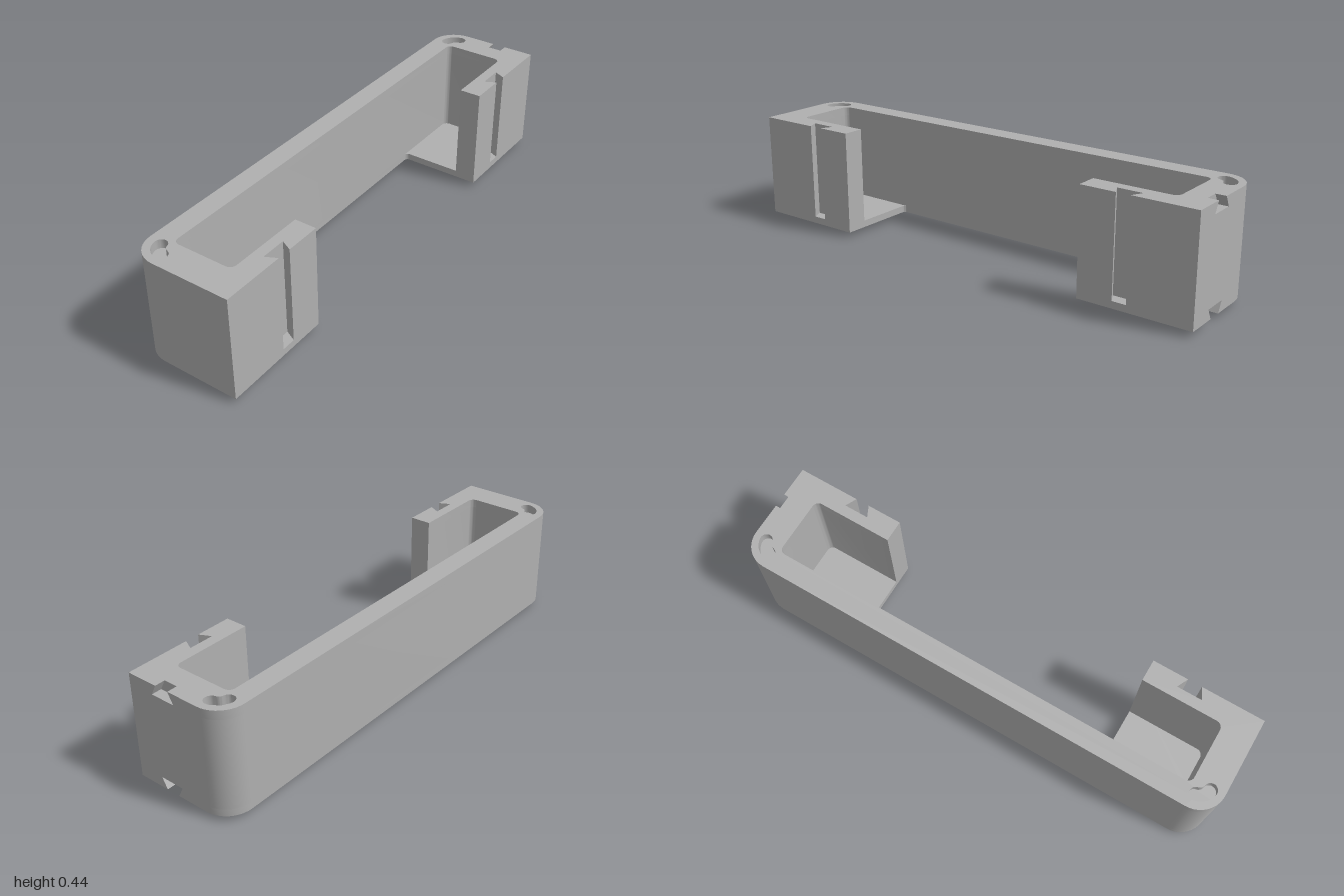
import * as THREE from 'three';
import { toCreasedNormals } from 'three/addons/utils/BufferGeometryUtils.js';

const BASE = 0.022, FLOOR = 0.05, RECESS = 0.405, TOP = 0.44;

// Polygon from [x, z, radius] corners; a radius rounds that (square) corner.
function outline(corners) {
  const pts = [];
  corners.forEach(([x, z, r], i) => {
    const p = new THREE.Vector2(x, -z);
    if (!r) return pts.push(p);
    const [px, pz] = corners[(i + corners.length - 1) % corners.length];
    const [nx, nz] = corners[(i + 1) % corners.length];
    const into = new THREE.Vector2(x - px, pz - z).normalize();
    const out = new THREE.Vector2(nx - x, z - nz).normalize();
    for (let k = 0; k <= 10; k++) {
      const t = (k / 10) * Math.PI / 2;
      pts.push(p.clone()
        .addScaledVector(into, r * (Math.sin(t) - 1))
        .addScaledVector(out, r * (1 - Math.cos(t))));
    }
  });
  return pts;
}

// Curved bean following the rounded corner at the front (s = 1) or back (s = -1).
function bean(s) {
  const cx = -0.105, cz = 0.9, R = 0.048, w = 0.025;
  const a0 = THREE.MathUtils.degToRad(100), a1 = THREE.MathUtils.degToRad(170);
  const pts = [];
  const arc = (x, z, r, from, to) => {
    for (let k = 0; k < 10; k++) {
      const a = from + (to - from) * k / 10;
      pts.push(new THREE.Vector2(x + r * Math.cos(a), -s * (z + r * Math.sin(a))));
    }
  };
  const cap = (a, from) => arc(cx + R * Math.cos(a), cz + R * Math.sin(a), w, from, from + Math.PI);
  arc(cx, cz, R + w, a0, a1);
  cap(a1, a1);
  arc(cx, cz, R - w, a1, a0);
  cap(a0, a0 + Math.PI);
  return pts;
}

export function createModel() {
  const group = new THREE.Group();
  const grey = new THREE.MeshStandardMaterial({ color: 0xb0b0b0 });
  grey.name = 'plain grey';

  const add = (name, geometry) => {
    const mesh = new THREE.Mesh(toCreasedNormals(geometry, 0.6), grey);
    mesh.name = name;
    group.add(mesh);
  };
  const slab = (name, pts, y0, y1, holes = []) => {
    const shape = new THREE.Shape(pts);
    shape.holes = holes.map((h) => new THREE.Path(h));
    const g = new THREE.ExtrudeGeometry(shape, { depth: y1 - y0, bevelEnabled: false });
    add(name, g.rotateX(-Math.PI / 2).translate(0, y0, 0));
  };

  // Both ends mirror each other; the back one leaves room for the notched plate
  const mirrored = (half) => {
    const back = half.map(([x, z, r]) => [x, -z, r]).reverse();
    const channel = [[0.11, -1], [0.11, -0.96], [0, -0.96], [0, -1]];
    back.splice(back.length - 1, 0, ...channel);
    return outline([...half, ...back]);
  };

  const corner = [-0.21, 1, 0.105];
  const floor = mirrored([corner, [0.21, 1], [0.21, 0.55], [-0.127, 0.55, 0.015]]);
  const walls = mirrored([
    corner, [0.21, 1],
    [0.21, 0.748], [0.165, 0.77], [0.165, 0.67], [0.21, 0.692], // dovetail groove
    [0.21, 0.55], [0.123, 0.55],
    [0.123, 0.877, 0.025], [-0.127, 0.877, 0.025],
  ]);

  slab('floor', floor, BASE, FLOOR);
  slab('walls', walls, FLOOR, RECESS);
  slab('rim', walls, RECESS, TOP, [bean(1), bean(-1)]);

  // Locating pegs under the rounded corners
  slab('frontPeg', bean(1), 0, BASE);
  slab('backPeg', bean(-1), 0, BASE);

  // Back plate with a dovetail notch at its top and bottom edges
  const d = 0.042;
  const plate = new THREE.Shape([
    [0, BASE], [0.027, BASE], [0.005, BASE + d], [0.105, BASE + d], [0.083, BASE], [0.11, BASE],
    [0.11, TOP], [0.083, TOP], [0.105, TOP - d], [0.005, TOP - d], [0.027, TOP], [0, TOP],
  ].map(([x, y]) => new THREE.Vector2(x, y)));
  const plateGeometry = new THREE.ExtrudeGeometry(plate, { depth: 0.04, bevelEnabled: false });
  add('notchedBackPlate', plateGeometry.translate(0, 0, -1));

  return group;
}
